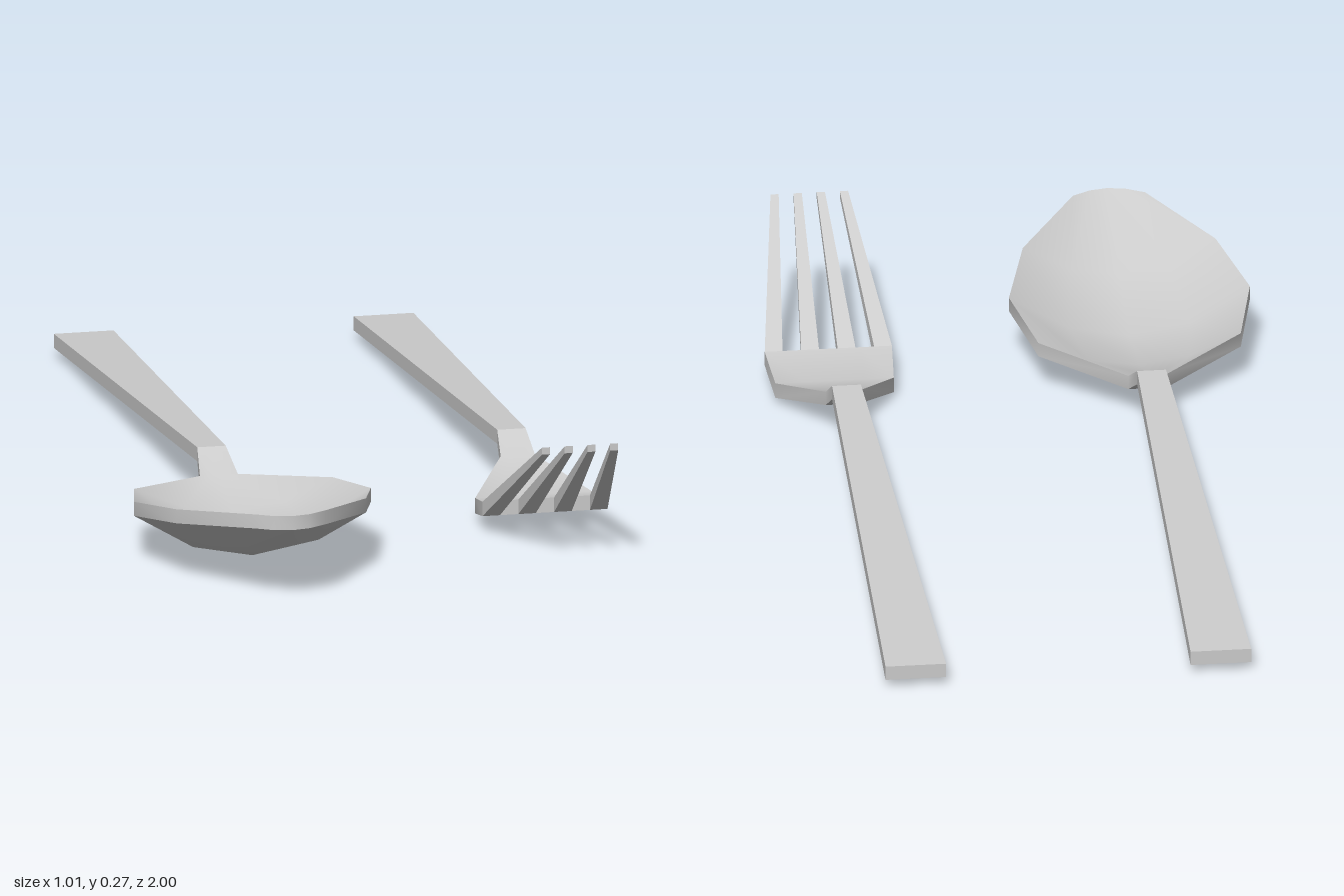
import * as THREE from 'three';
import { toCreasedNormals } from 'three/addons/utils/BufferGeometryUtils.js';

const material = new THREE.MeshStandardMaterial({ color: 0xcccccc });

// Closed slab from rows (running along +z) of points [x, z, bottom y, top y] (running along +x)
function slab(name, rows) {
  const pos = [], idx = [], n = rows[0].length, last = rows.length - 1;
  for (const row of rows) {
    for (const [x, z, bottom, top] of row) pos.push(x, top, z, x, bottom, z);
  }
  const top = (i, j) => 2 * (i * n + j), bot = (i, j) => top(i, j) + 1;
  const quad = (a, b, c, d) => idx.push(a, b, c, a, c, d);
  for (let i = 0; i < last; i++) {
    for (let j = 0; j < n - 1; j++) {
      quad(top(i, j), top(i + 1, j), top(i + 1, j + 1), top(i, j + 1));
      quad(bot(i, j), bot(i, j + 1), bot(i + 1, j + 1), bot(i + 1, j));
    }
    quad(top(i, 0), bot(i, 0), bot(i + 1, 0), top(i + 1, 0));
    quad(top(i, n - 1), top(i + 1, n - 1), bot(i + 1, n - 1), bot(i, n - 1));
  }
  for (let j = 0; j < n - 1; j++) {
    quad(top(0, j), top(0, j + 1), bot(0, j + 1), bot(0, j));
    quad(top(last, j), bot(last, j), bot(last, j + 1), top(last, j + 1));
  }
  const geo = new THREE.BufferGeometry();
  geo.setAttribute('position', new THREE.Float32BufferAttribute(pos, 3));
  geo.setIndex(idx);
  const mesh = new THREE.Mesh(toCreasedNormals(geo, 0.75), material);
  mesh.name = name;
  return mesh;
}

// Straight tapered handle, shared by both pieces
function makeHandle(name) {
  return slab(name, [[-1, 0.063, 0.018], [0.22, 0.03, 0.1]].map(([z, w, y]) =>
    [-1, 1].map((u) => [u * w, z, y, y + 0.03])));
}

function makeSpoon() {
  const spoon = new THREE.Group();
  spoon.name = 'spoon';
  spoon.add(makeHandle('spoonHandle'));
  // z, half width, underside at rim, bowl depth, rounding of the tip in z
  const sections = [
    [0.22, 0.03, 0.1, 0, 0],
    [0.29, 0.04, 0.058, 0, 0],
    [0.43, 0.21, 0.078, 0.06, 0],
    [0.61, 0.25, 0.101, 0.099, 0],
    [0.79, 0.2, 0.13, 0.07, 0],
    [1, 0.075, 0.16, 0, 0.03],
  ];
  spoon.add(slab('spoonBowl', sections.map(([z, w, rim, depth, round]) =>
    [-1, -0.5, 0, 0.5, 1].map((u) => {
      const y = rim - depth * (1 - u * u);
      return [u * w, z - round * u * u, y, y + 0.03];
    }))));
  spoon.position.x = -0.26;
  return spoon;
}

function makeFork() {
  const fork = new THREE.Group();
  fork.name = 'fork';
  fork.add(makeHandle('forkHandle'));
  // Neck widening into the head: z, half width, underside, top
  const sections = [
    [0.22, 0.03, 0.1, 0.13],
    [0.28, 0.036, 0.06, 0.09],
    [0.43, 0.123, 0.013, 0.046],
    [0.54, 0.132, 0.037, 0.068],
  ];
  fork.add(slab('forkHead', sections.map(([z, w, b, t]) =>
    [-1, -0.5, 0, 0.5, 1].map((u) => [u * w, z, b, t]))));
  // Four tines converging towards their tips
  for (let i = 0; i < 4; i++) {
    const u = (i - 1.5) / 1.5;
    const base = u * 0.1135, tip = u * 0.072;
    fork.add(slab('tine' + (i + 1), [
      [-0.0185, 0.0185].map((d) => [base + d, 0.54, 0.037, 0.068]),
      [-0.0085, 0.0085].map((d) => [tip + d, 0.875, 0.255, 0.27]),
    ]));
  }
  fork.position.x = 0.373;
  return fork;
}

export function createModel() {
  const model = new THREE.Group();
  model.name = 'cutlery';
  model.add(makeSpoon(), makeFork());
  return model;
}
